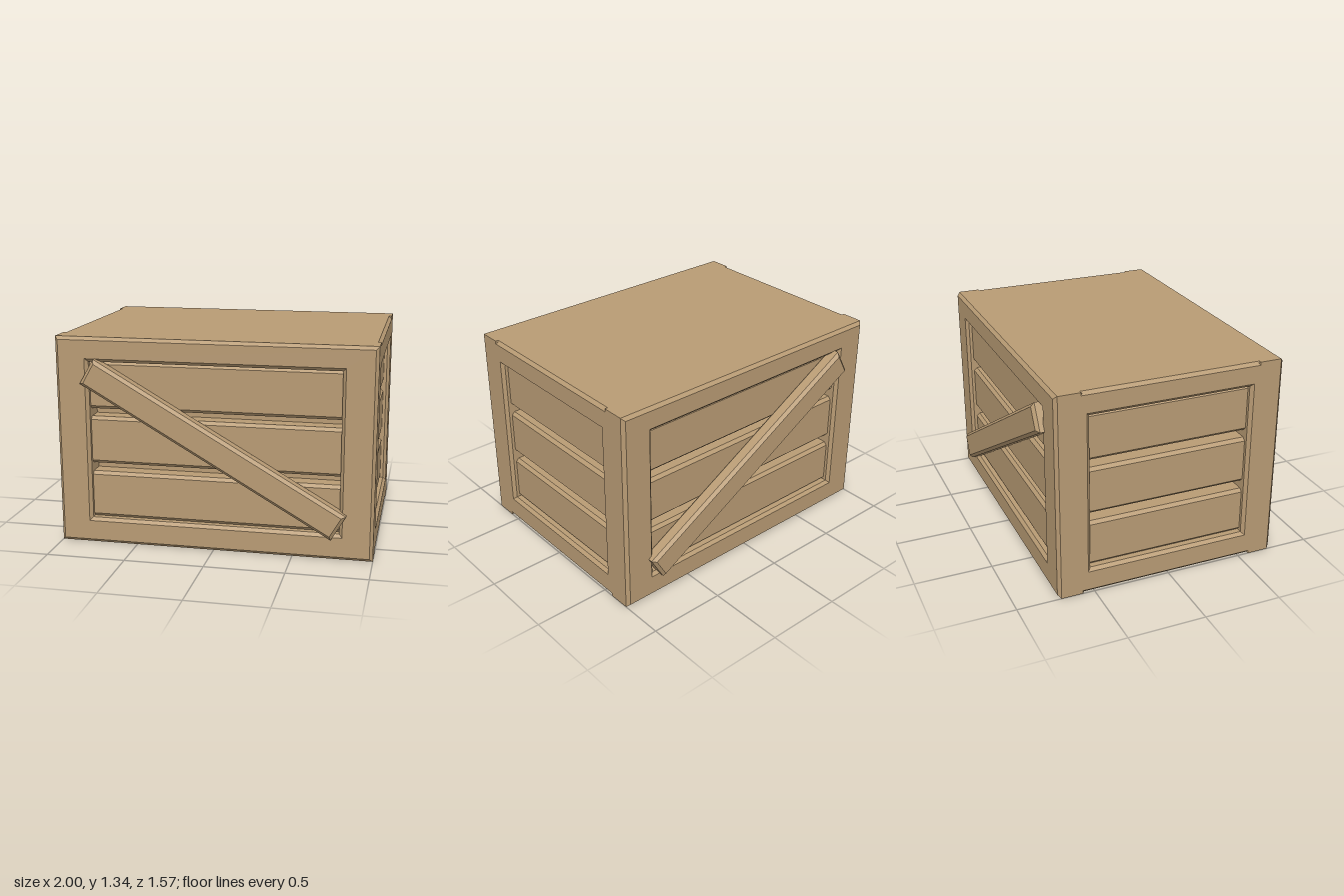
import * as THREE from 'three';

const H = 1.335, X = 1, Z = 0.735, C = 0.02; // height, half width, half depth, chamfer

// Rectangle corners centred on (0, cy)
const corners = (w, h, cy = 0) => [[-w, -h], [w, -h], [w, h], [-w, h]]
  .map(([x, y]) => new THREE.Vector2(x / 2, cy + y / 2));

// Extruded rectangle with chamfered rims, centred on z; the optional hole is chamfered too
function chamferedBoard(w, h, depth, hole) {
  const shape = new THREE.Shape(corners(w, h));
  if (hole) shape.holes.push(new THREE.Path(corners(hole.w, hole.h, hole.cy).reverse()));
  const geo = new THREE.ExtrudeGeometry(shape, {
    depth: depth - 2 * C, bevelEnabled: true, bevelSegments: 1,
    bevelSize: C, bevelThickness: C, bevelOffset: -C,
  });
  return geo.translate(0, 0, C - depth / 2);
}

export function createModel() {
  const crate = new THREE.Group();
  crate.name = 'crate';
  const wood = new THREE.MeshStandardMaterial({ color: 0xb89b74 });
  wood.name = 'wood';

  const add = (name, geo) => {
    const mesh = new THREE.Mesh(geo, wood);
    mesh.name = name;
    crate.add(mesh);
    return mesh;
  };

  // Solid core forms the lid, the base and the backs of the grooves
  add('core', new THREE.BoxGeometry(1.7, H, 1.16)).position.y = H / 2;

  // Picture-frame panels on the four sides
  const t = 0.18, holeY = 0.6725 - H / 2;
  const longPanel = chamferedBoard(2 * X, H, t, { w: 1.58, h: 1.015, cy: holeY });
  const shortPanel = chamferedBoard(1.2, H, t, { w: 1.04, h: 1.015, cy: holeY });
  for (const s of [1, -1]) {
    add(s > 0 ? 'frontFrame' : 'backFrame', longPanel).position.set(0, H / 2, s * (Z - t / 2));
    const side = add(s > 0 ? 'leftFrame' : 'rightFrame', shortPanel);
    side.position.set(s * (X - t / 2), H / 2, 0);
    side.rotation.y = Math.PI / 2;
  }

  // Three recessed layers of horizontal planks
  [[0.165, 0.465], [0.52, 0.825], [0.875, 1.18]].forEach(([y0, y1], i) => {
    const plank = add('plankLayer' + (i + 1), chamferedBoard(1.92, 1.39, y1 - y0));
    plank.rotation.x = -Math.PI / 2;
    plank.position.y = (y0 + y1) / 2;
  });

  // Diagonal braces on the front and back
  const brace = chamferedBoard(1.82, 0.18, 0.1);
  for (const s of [1, -1]) {
    const mesh = add(s > 0 ? 'frontBrace' : 'backBrace', brace);
    mesh.position.set(0, 0.67, s * 0.733);
    mesh.rotation.z = -Math.PI / 6;
  }
  return crate;
}
